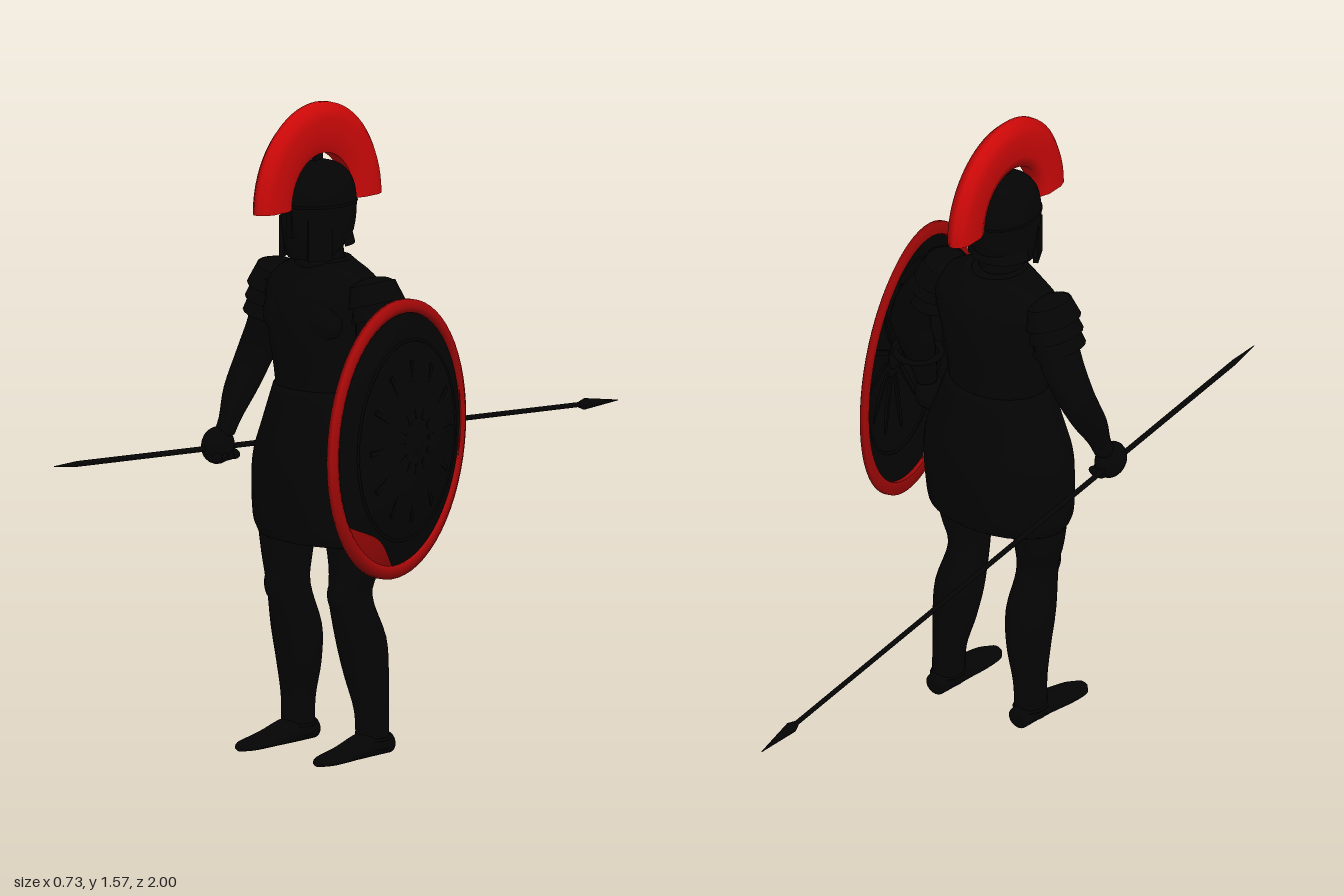
import * as THREE from 'three';

const black = new THREE.MeshStandardMaterial({ color: 0x040404, side: THREE.DoubleSide });
black.name = 'blackArmour';
const crestRed = new THREE.MeshStandardMaterial({ color: 0xcc0808, side: THREE.DoubleSide });
crestRed.name = 'crestRed';
const shieldRed = new THREE.MeshStandardMaterial({ color: 0xa80808, side: THREE.DoubleSide });
shieldRed.name = 'shieldRed';

const CX = -0.02; // body centre line

function add(parent, name, geo, mat = black) {
  const m = new THREE.Mesh(geo, mat);
  m.name = name;
  parent.add(m);
  return m;
}

// Smooth body through ellipses [y, cx, cz, rx, rz], listed from low to high
function loft(rows, seg = 24, sub = 4) {
  const curve = new THREE.CubicInterpolant(rows.map((_, i) => i), rows.flat(), 5, new Float32Array(5));
  const pos = [], idx = [], n = (rows.length - 1) * sub;
  for (let i = 0; i <= n; i++) {
    const [y, cx, cz, rx, rz] = [...curve.evaluate(i / sub)];
    for (let j = 0; j < seg; j++) {
      const t = (j / seg) * Math.PI * 2;
      pos.push(cx + rx * Math.sin(t), y, cz + rz * Math.cos(t));
      const k = (j + 1) % seg, a = i * seg;
      if (i < n) idx.push(a + j, a + k, a + seg + j, a + k, a + seg + k, a + seg + j);
    }
  }
  // end caps
  const bottom = pos.length / 3, top = bottom + 1, lo = rows[0], hi = rows[rows.length - 1];
  pos.push(lo[1], lo[0], lo[2], hi[1], hi[0], hi[2]);
  for (let j = 0; j < seg; j++) {
    const k = (j + 1) % seg;
    idx.push(bottom, k, j, top, n * seg + j, n * seg + k);
  }
  const g = new THREE.BufferGeometry();
  g.setAttribute('position', new THREE.Float32BufferAttribute(pos, 3));
  g.setIndex(idx);
  g.computeVertexNormals();
  return g;
}

function rod(parent, name, a, b, rA, rB, seg = 10) {
  const d = b.clone().sub(a);
  const m = add(parent, name, new THREE.CylinderGeometry(rB, rA, d.length(), seg));
  m.position.copy(a).addScaledVector(d, 0.5);
  m.quaternion.setFromUnitVectors(new THREE.Vector3(0, 1, 0), d.normalize());
  return m;
}

function ball(parent, name, x, y, z, rx, ry, rz) {
  const m = add(parent, name, new THREE.SphereGeometry(1, 18, 12));
  m.position.set(x, y, z);
  m.scale.set(rx, ry, rz);
  return m;
}

function makeHelmet() {
  const g = new THREE.Group();
  g.name = 'helmet';
  add(g, 'helmetBowl', loft([
    [1.205, CX, 0.385, 0.055, 0.05], [1.25, CX, 0.36, 0.074, 0.088], [1.32, CX, 0.355, 0.081, 0.1],
    [1.38, CX, 0.355, 0.074, 0.093], [1.42, CX, 0.355, 0.048, 0.06], [1.438, CX, 0.355, 0.006, 0.008]]));
  const brow = add(g, 'browRim', new THREE.TorusGeometry(1, 0.05, 8, 32).rotateX(Math.PI / 2));
  brow.position.set(CX, 1.335, 0.355);
  brow.scale.set(0.079, 0.07, 0.098);
  const nose = add(g, 'noseGuard', new THREE.BoxGeometry(0.016, 0.07, 0.018));
  nose.position.set(CX, 1.295, 0.448);
  for (const s of [-1, 1]) {
    const cheek = add(g, 'cheekGuard', new THREE.BoxGeometry(0.012, 0.1, 0.06));
    cheek.position.set(CX + s * 0.058, 1.255, 0.41);
    cheek.rotation.y = -s * 0.5;
  }
  const guard = add(g, 'neckGuard', new THREE.CylinderGeometry(0.072, 0.082, 0.04, 20, 1, true, Math.PI / 2, Math.PI));
  guard.position.set(CX, 1.255, 0.348);
  const post = add(g, 'crestHolder', new THREE.BoxGeometry(0.014, 0.04, 0.025));
  post.position.set(CX, 1.44, 0.36);
  // half-ring plume with a soft ridge along its outer edge
  const profile = [[0.106, -0.02], [0.13, -0.029], [0.175, -0.029], [0.195, -0.022], [0.208, -0.006],
    [0.208, 0.006], [0.195, 0.022], [0.175, 0.029], [0.13, 0.029], [0.106, 0.02], [0.106, -0.02]]
    .map(p => new THREE.Vector2(...p));
  const crest = new THREE.Group();
  crest.name = 'crest';
  add(crest, 'plume', new THREE.LatheGeometry(profile, 32, 0, Math.PI).rotateZ(Math.PI / 2), crestRed);
  for (const s of [-1, 1])
    add(crest, 'plumeEnd', new THREE.ShapeGeometry(new THREE.Shape(profile)).rotateX(Math.PI / 2).rotateY(s * Math.PI / 2), crestRed);
  crest.position.set(CX, 1.33, 0.36);
  crest.scale.set(1, 0.245 / 0.208, 1);
  g.add(crest);
  return g;
}

const SQUASH = 0.97; // the shield is slightly narrower than tall
const domeHeight = r => 0.056 * (1 - Math.pow(r / 0.315, 2.5));

// Crescent lying on the shield dome, its inner edge reaching `width` inward
function crescent(mid, len, width, offset) {
  const g = new THREE.PlaneGeometry(1, 1, 24, 6), p = g.attributes.position;
  for (let i = 0; i < p.count; i++) {
    const u = p.getX(i), phi = mid + len * u;
    const r = 0.312 - width * Math.cos(Math.PI * u) * (p.getY(i) + 0.5);
    p.setXYZ(i, domeHeight(r) + offset, -r * Math.sin(phi), SQUASH * r * Math.cos(phi));
  }
  g.computeVertexNormals();
  return g;
}

function makeShield() {
  const g = new THREE.Group();
  g.name = 'shield';
  const dish = (name, pts, mat) => add(g, name,
    new THREE.LatheGeometry(pts.map(p => new THREE.Vector2(...p)), 64).rotateZ(-Math.PI / 2).scale(1, 1, SQUASH), mat);
  const dome = [];
  for (let i = 14; i >= 0; i--) dome.push([0.315 * i / 14, domeHeight(0.315 * i / 14)]);
  dish('shieldFace', dome, black);
  dish('shieldRim', [[0.304, -0.005], [0.335, -0.006], [0.335, 0.006], [0.318, 0.013], [0.303, 0.01], [0.304, -0.005]], shieldRed);
  // bare red patches beside the rim, on both faces
  for (const [mid, len, width] of [[Math.PI - 0.03, 0.72, 0.036], [1.02, 0.95, 0.055]])
    for (const offset of [0.004, -0.004]) add(g, 'redPatch', crescent(mid, len, width, offset), shieldRed);
  // sunburst relief
  for (let i = 0; i < 12; i++) {
    const ray = new THREE.BoxGeometry(0.006, 0.14, 0.012).rotateZ(0.1).translate(0.047, 0.125, 0);
    add(g, 'sunRay', ray.rotateX(i * Math.PI / 6));
  }
  const ring = add(g, 'reliefRing', new THREE.TorusGeometry(0.24, 0.004, 6, 48).rotateY(Math.PI / 2));
  ring.position.x = domeHeight(0.24);
  ring.scale.z = SQUASH;
  const boss = add(g, 'shieldBoss', new THREE.SphereGeometry(0.04, 18, 12));
  boss.position.x = 0.053;
  boss.scale.x = 0.2;
  const band = add(g, 'armBand', new THREE.TorusGeometry(0.055, 0.008, 8, 20).rotateX(Math.PI / 2));
  band.position.set(-0.005, 0.02, 0);
  g.position.set(0.272, 0.805, 0.388);
  g.rotation.y = 0.263;
  return g;
}

function makeSpear() {
  const g = new THREE.Group();
  g.name = 'spear';
  const butt = new THREE.Vector3(-0.265, 0.75, 1), tip = new THREE.Vector3(-0.36, 0.605, -1);
  const at = t => butt.clone().lerp(tip, t);
  rod(g, 'spearButt', at(0), at(0.04), 0.001, 0.007);
  rod(g, 'spearShaft', at(0.04), at(0.94), 0.007, 0.006);
  rod(g, 'spearHeadBase', at(0.93), at(0.94), 0.007, 0.014, 6);
  rod(g, 'spearHead', at(0.94), at(1), 0.014, 0.001, 6);
  return g;
}

export function createModel() {
  const model = new THREE.Group();
  model.name = 'ancientWarrior';
  model.add(makeHelmet(), makeShield(), makeSpear());

  // torso and neck
  add(model, 'torso', loft([
    [0.78, CX, 0.335, 0.13, 0.105], [0.9, CX, 0.335, 0.13, 0.105], [1.02, CX, 0.335, 0.15, 0.118],
    [1.11, CX, 0.33, 0.17, 0.112], [1.16, CX, 0.33, 0.14, 0.086], [1.195, CX, 0.335, 0.07, 0.068]]));
  add(model, 'neck', new THREE.CylinderGeometry(0.05, 0.06, 0.1, 20)).position.set(CX, 1.2, 0.345);
  const collar = add(model, 'collar', new THREE.TorusGeometry(0.055, 0.012, 8, 24).rotateX(Math.PI / 2));
  collar.position.set(CX, 1.19, 0.338);
  collar.scale.z = 1.1;

  // skirt
  add(model, 'skirt', loft([
    [0.522, CX + 0.005, 0.338, 0.188, 0.12], [0.56, CX, 0.338, 0.2, 0.127], [0.65, CX, 0.336, 0.204, 0.134],
    [0.72, CX, 0.335, 0.197, 0.133], [0.79, CX, 0.335, 0.172, 0.122], [0.89, CX, 0.335, 0.134, 0.107]], 32));

  for (const s of [-1, 1]) {
    const x = d => CX + s * d;
    ball(model, 'chestMuscle', x(0.06), 1.06, 0.405, 0.068, 0.055, 0.04);
    // legs, greaves and feet
    add(model, 'leg', loft([
      [0.02, x(0.125), 0.3, 0.036, 0.045], [0.11, x(0.122), 0.3, 0.037, 0.046], [0.2, x(0.112), 0.308, 0.05, 0.058],
      [0.29, x(0.107), 0.322, 0.058, 0.064], [0.39, x(0.103), 0.352, 0.044, 0.06],
      [0.47, x(0.112), 0.348, 0.057, 0.066], [0.6, x(0.11), 0.345, 0.075, 0.085]]));
    ball(model, 'kneeGuard', x(0.105), 0.4, 0.385, 0.034, 0.05, 0.034);
    const cuff = add(model, 'ankleCuff', new THREE.TorusGeometry(0.037, 0.004, 6, 20).rotateX(Math.PI / 2));
    cuff.position.set(x(0.125), 0.045, 0.3);
    cuff.scale.z = 1.2;
    add(model, 'foot', loft([
      [0.25, x(0.125), -0.028, 0.028, 0.026], [0.32, x(0.125), -0.033, 0.036, 0.032],
      [0.4, x(0.128), -0.02, 0.04, 0.019], [0.46, x(0.13), -0.013, 0.036, 0.012],
      [0.49, x(0.13), -0.011, 0.016, 0.009]], 18).rotateX(Math.PI / 2));

    // layered shoulder guard
    const guard = new THREE.Group();
    guard.name = 'shoulderGuard';
    for (let i = 0; i < 3; i++) {
      const plate = add(guard, 'shoulderPlate', new THREE.CylinderGeometry(0.05, 0.063 - i * 0.002, 0.05, 18, 1, true));
      plate.position.y = 0.015 - i * 0.036;
    }
    ball(guard, 'shoulderCap', 0, 0.03, 0, 0.05, 0.025, 0.05);
    guard.position.set(x(0.165), 1.115, 0.33);
    guard.rotation.z = s * 0.28;
    guard.scale.z = 1.2;
    model.add(guard);
  }

  // right arm, holding the spear
  add(model, 'rightArm', loft([
    [0.74, -0.282, 0.41, 0.024, 0.028], [0.78, -0.277, 0.392, 0.026, 0.03], [0.85, -0.276, 0.355, 0.04, 0.045],
    [0.94, -0.262, 0.315, 0.047, 0.05], [1.03, -0.217, 0.315, 0.048, 0.058], [1.13, -0.175, 0.33, 0.05, 0.065]]));
  ball(model, 'rightHand', -0.287, 0.715, 0.425, 0.034, 0.045, 0.046);
  for (let i = 0; i < 4; i++) ball(model, 'rightFinger', -0.275, 0.692, 0.39 + i * 0.02, 0.026, 0.014, 0.011);

  // left arm, behind the shield
  add(model, 'leftArm', loft([
    [0.74, 0.258, 0.41, 0.024, 0.028], [0.8, 0.253, 0.39, 0.03, 0.035], [0.88, 0.246, 0.355, 0.042, 0.046],
    [0.96, 0.24, 0.325, 0.047, 0.05], [1.05, 0.205, 0.325, 0.05, 0.058], [1.13, 0.14, 0.33, 0.05, 0.065]]));
  ball(model, 'leftHand', 0.258, 0.705, 0.42, 0.032, 0.045, 0.04);

  return model;
}
